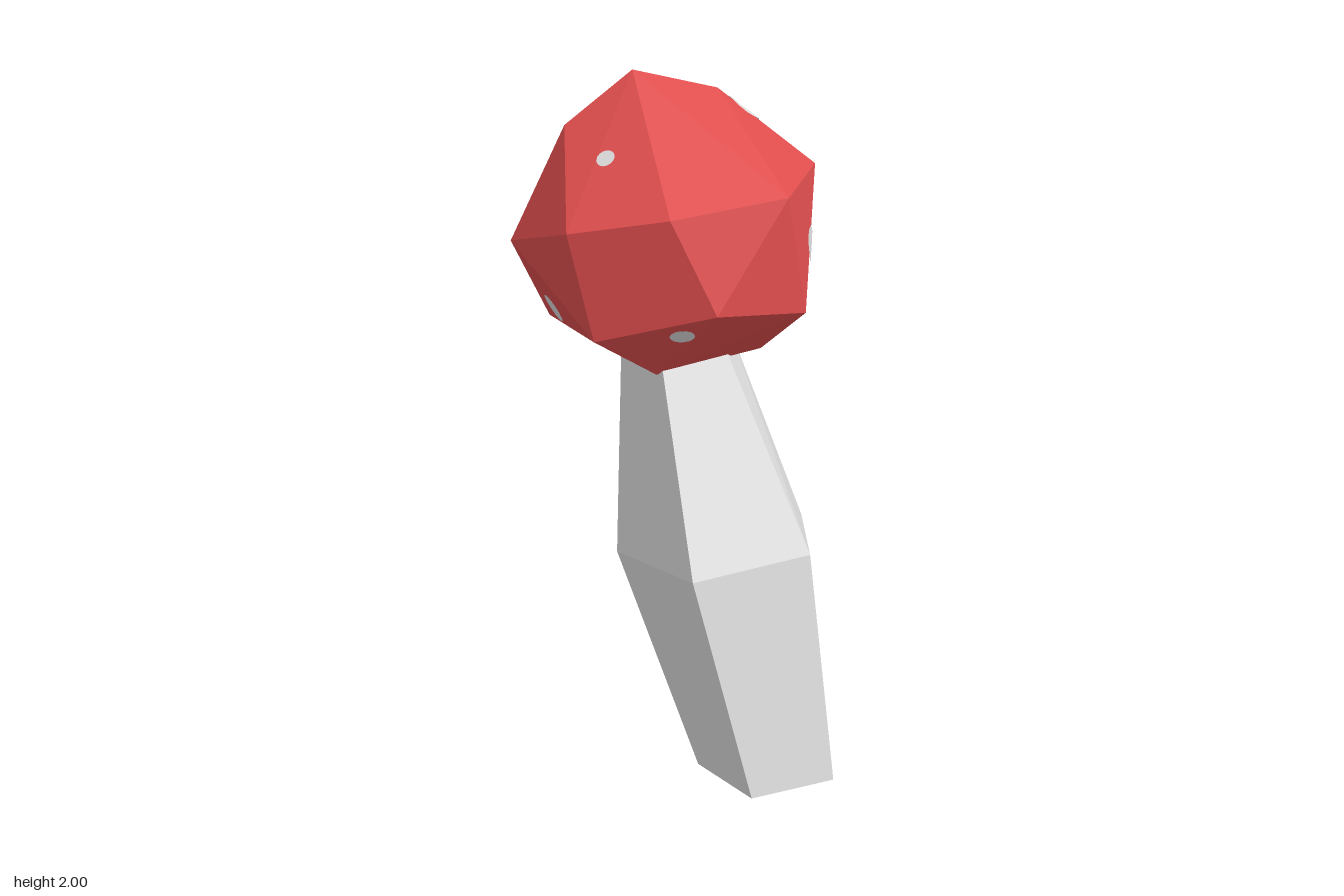
import * as THREE from 'three';
import { ConvexGeometry } from 'three/addons/geometries/ConvexGeometry.js';

const red = new THREE.MeshStandardMaterial({ color: 0xe04e4e, flatShading: true });
red.name = 'cap red';
const pale = new THREE.MeshStandardMaterial({ color: 0xdcdcdc, flatShading: true, side: THREE.DoubleSide });
pale.name = 'pale grey';

// corners of the uneven twenty-cornered cap
const CAP = [
  [-0.245, 2.0, 0.035], [-0.12, 1.94, -0.17], [-0.31, 1.86, 0.225], [-0.49, 1.79, 0.025],
  [-0.375, 1.81, -0.215], [0.025, 1.705, -0.415], [0.3, 1.745, -0.08], [0.205, 1.725, 0.25],
  [-0.03, 1.66, 0.422], [-0.36, 1.54, 0.385], [-0.565, 1.48, -0.065], [-0.375, 1.455, -0.37],
  [-0.04, 1.32, -0.422], [0.3, 1.395, -0.15], [0.3, 1.46, 0.165], [0.04, 1.36, 0.388],
  [-0.385, 1.27, 0.243], [0.02, 1.195, 0.16], [-0.37, 1.17, -0.035], [0.09, 1.215, -0.165],
];

// five-sided leaning stem: bottom, middle and top rings, open at the ends
const STEM = [
  [[0.56, 0.02, -0.07], [0.48, 0.015, 0.175], [0.23, 0.003, 0.175], [0.155, 0, -0.07], [0.36, 0.01, -0.215]],
  [[0.405, 0.695, -0.095], [0.3, 0.675, 0.25], [-0.06, 0.625, 0.25], [-0.172, 0.61, -0.095], [0.13, 0.65, -0.3]],
  [[0.07, 1.25, -0.045], [0.02, 1.25, 0.145], [-0.165, 1.25, 0.145], [-0.213, 1.25, -0.045], [-0.065, 1.25, -0.165]],
];

// spots: approximate centre and radius
const SPOTS = [
  [-0.12, 1.86, -0.235, 0.072], [-0.1, 1.815, 0.235, 0.027], [-0.425, 1.62, 0.2, 0.037],
  [-0.24, 1.36, 0.32, 0.046], [0.19, 1.385, 0.2, 0.035], [0.177, 1.535, -0.27, 0.05],
  [-0.485, 1.596, -0.15, 0.036],
];

function meshFrom(points, index, material, name) {
  let g = new THREE.BufferGeometry();
  g.setAttribute('position', new THREE.Float32BufferAttribute(points, 3));
  g.setIndex(index);
  g = g.toNonIndexed();
  g.computeVertexNormals();
  const m = new THREE.Mesh(g, material);
  m.name = name;
  return m;
}

function makeStem() {
  const index = [];
  for (let r = 0; r < 2; r++) {
    for (let i = 0; i < 5; i++) {
      const j = (i + 1) % 5;
      const a = r * 5 + i, b = r * 5 + j, c = a + 5, d = b + 5;
      index.push(b, a, c, b, c, d);
    }
  }
  return meshFrom(STEM.flat(2), index, pale, 'stem');
}

// a round patch draped over the facets of the cap
function makeSpot(cap, [x, y, z, radius]) {
  const core = new THREE.Vector3(-0.13, 1.57, 0);
  const mid = new THREE.Vector3(x, y, z);
  const ray = new THREE.Raycaster();
  cap.material.side = THREE.DoubleSide;
  const cast = (p) => {
    ray.set(core, p.clone().sub(core).normalize());
    return ray.intersectObject(cap)[0];
  };
  const first = cast(mid);
  const n = first.face.normal.clone();
  const u = new THREE.Vector3(-n.z, 0, n.x).normalize();
  const v = new THREE.Vector3().crossVectors(n, u);
  const drape = (p) => {
    const hit = cast(p);
    return hit.point.addScaledVector(hit.face.normal, 0.005).toArray();
  };
  const sides = 14, rings = 4;
  const points = [...drape(first.point)];
  const index = [];
  for (let r = 1; r <= rings; r++) {
    for (let i = 0; i < sides; i++) {
      const t = (i / sides) * Math.PI * 2;
      const p = first.point.clone()
        .addScaledVector(u, Math.cos(t) * radius * r / rings)
        .addScaledVector(v, Math.sin(t) * radius * r / rings);
      points.push(...drape(p));
      const a = 1 + (r - 1) * sides + i, b = 1 + (r - 1) * sides + (i + 1) % sides;
      if (r === 1) index.push(0, a, b);
      else index.push(a - sides, a, b, a - sides, b, b - sides);
    }
  }
  cap.material.side = THREE.FrontSide;
  return meshFrom(points, index, pale, 'spot');
}

export function createModel() {
  const group = new THREE.Group();
  group.name = 'mushroom';
  const cap = new THREE.Mesh(new ConvexGeometry(CAP.map((p) => new THREE.Vector3(...p))), red);
  cap.name = 'cap';
  group.add(makeStem(), cap);
  for (const s of SPOTS) group.add(makeSpot(cap, s));
  return group;
}
